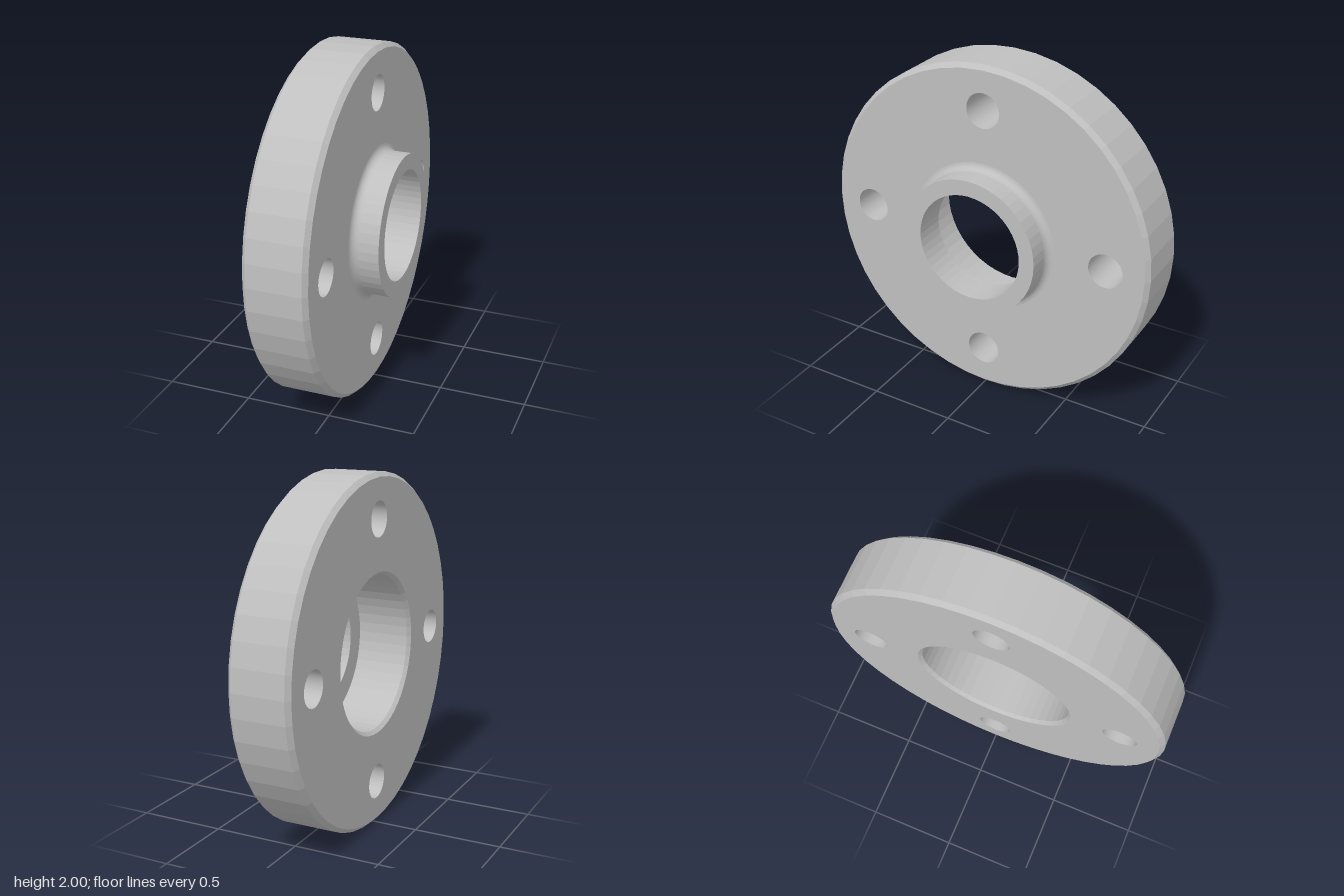
import * as THREE from 'three';

const SIDES = 48;
const BACK = -0.255, FACE = 0.10, HUB_END = 0.255, LEDGE = 0.07;
const BOLT_CIRCLE = 0.75, BOLT_R = 0.1;
const FILLET = 0.04, HUB_R = 0.405, BORE_R = 0.315, SOCKET_R = 0.44;

export function createModel() {
  const steel = new THREE.MeshStandardMaterial({ color: 0xbfbfbf });
  steel.name = 'grey steel';

  // everything is turned about local y, then laid along x
  const flange = new THREE.Group();
  flange.name = 'flange';
  flange.rotation.z = -Math.PI / 2;
  flange.position.y = 1;

  const add = (name, geometry) => {
    const mesh = new THREE.Mesh(geometry, steel);
    mesh.name = name;
    flange.add(mesh);
    return mesh;
  };

  // revolved surface; a profile running up faces outward, down faces inward
  const turn = (name, profile, smooth = false, sides = SIDES) => {
    let g = new THREE.LatheGeometry(profile.map(([r, y]) => new THREE.Vector2(r, y)), sides);
    if (!smooth) {
      g = g.toNonIndexed();
      g.computeVertexNormals();
    }
    return add(name, g);
  };

  // flat ring pierced by the bore and four bolt holes
  const ring = (name, inner, y, dir) => {
    const shape = new THREE.Shape().absarc(0, 0, 0.975, 0, Math.PI * 2, false);
    const hole = (x, z, r) =>
      shape.holes.push(new THREE.Path().absarc(x, z, r, 0, Math.PI * 2, true));
    hole(0, 0, inner);
    for (let i = 0; i < 4; i++) {
      const a = i * Math.PI / 2;
      hole(BOLT_CIRCLE * Math.cos(a), BOLT_CIRCLE * Math.sin(a), BOLT_R);
    }
    const g = new THREE.ShapeGeometry(shape, SIDES / 2);
    g.rotateX(-dir * Math.PI / 2);
    g.translate(0, y, 0);
    add(name, g);
  };

  // disc: chamfered rim and both faces
  turn('rim', [[0.975, BACK], [1, BACK + 0.025], [1, FACE - 0.025], [0.975, FACE]]);
  ring('hubSideFace', HUB_R + FILLET, FACE, 1);
  ring('backFace', SOCKET_R + 0.02, BACK, -1);

  // rounded root of the hub
  const root = [];
  for (let i = 0; i <= 6; i++) {
    const a = i / 6 * Math.PI / 2;
    root.push([HUB_R + FILLET * (1 - Math.sin(a)), FACE + FILLET * (1 - Math.cos(a))]);
  }
  turn('hubFillet', root, true);

  // hub wall, its end, and the stepped bore
  turn('hub', [[HUB_R, FACE + FILLET], [HUB_R, HUB_END], [BORE_R, HUB_END]]);
  turn('bore', [[BORE_R, HUB_END], [BORE_R, LEDGE]]);
  turn('socket', [[BORE_R, LEDGE], [SOCKET_R, LEDGE], [SOCKET_R, BACK + 0.02], [SOCKET_R + 0.02, BACK]]);

  // bolt hole walls
  for (let i = 0; i < 4; i++) {
    const a = i * Math.PI / 2;
    const wall = turn('boltHole', [[BOLT_R, FACE], [BOLT_R, BACK]], true);
    wall.position.set(BOLT_CIRCLE * Math.cos(a), 0, BOLT_CIRCLE * Math.sin(a));
  }

  const model = new THREE.Group();
  model.name = 'pipeFlange';
  model.add(flange);
  return model;
}
